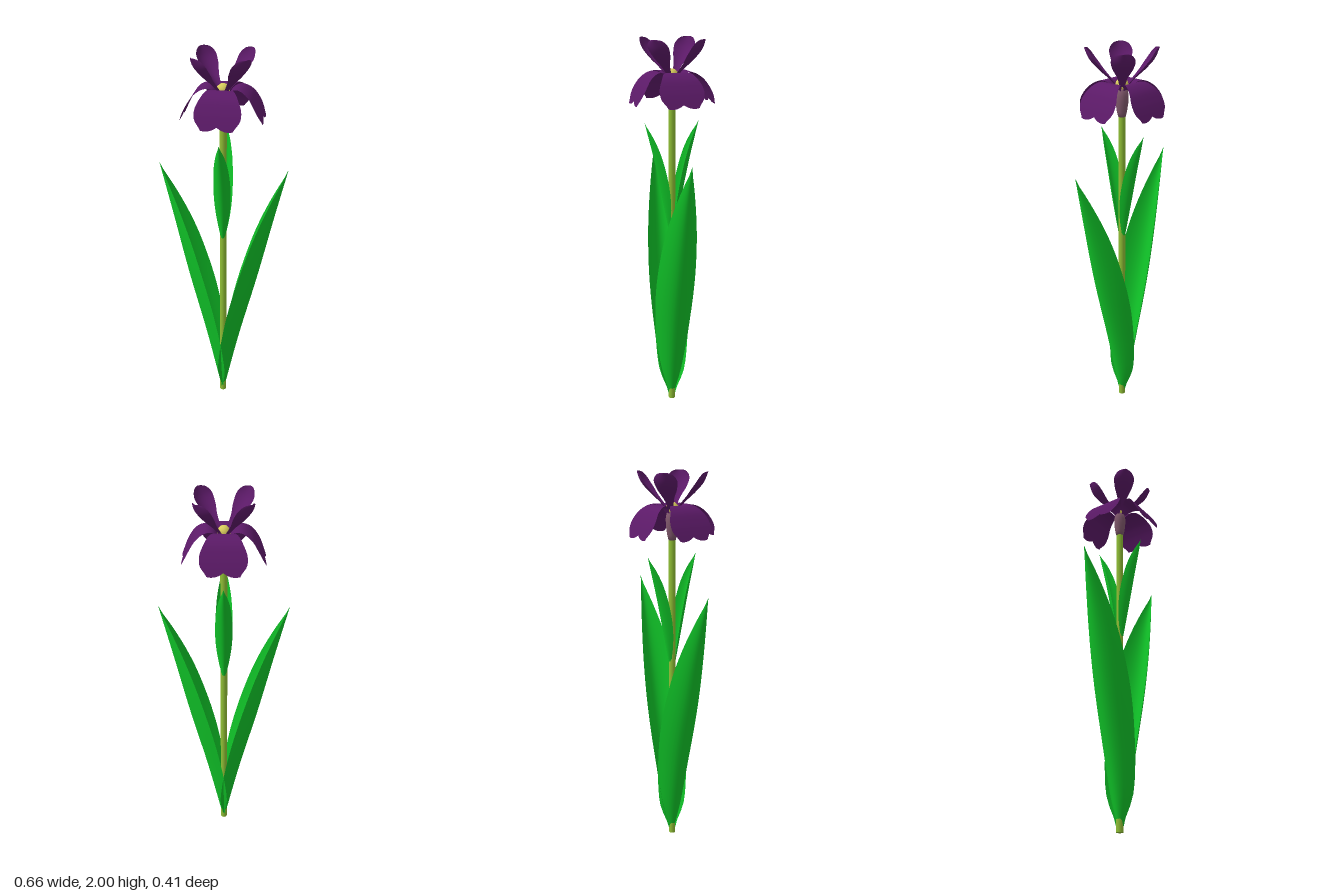
import * as THREE from 'three';

const paint = (color) => new THREE.MeshStandardMaterial({ color, side: THREE.DoubleSide });

// Smoothly interpolates evenly spaced widths along 0..1
function widthAt(list, t) {
  const f = t * (list.length - 1), i = Math.min(Math.floor(f), list.length - 2), k = f - i;
  const at = (j) => list[Math.max(0, Math.min(list.length - 1, j))];
  const [a, b, c, d] = [at(i - 1), at(i), at(i + 1), at(i + 2)];
  return Math.max(0, b + 0.5 * k * (c - a + k * (2 * a - 5 * b + 4 * c - d + k * (3 * (b - c) + d - a))));
}

// A blade follows a midrib of [outward, height] points; half widths run base to tip.
// cup bends the edges inward, round gives a rounded tip, notch makes a two-lobed tip.
function bladeGeometry({ midrib, widths, cup = 0, round = false, notch = 0 }) {
  const curve = new THREE.CatmullRomCurve3(midrib.map(([r, y]) => new THREE.Vector3(0, y, r)));
  const rows = 28, cols = 14, pos = [], index = [];
  for (let i = 0; i <= rows; i++) {
    const t = i / rows;
    const u = round ? Math.sin(t * Math.PI / 2) : t;
    const w = widthAt(widths, t);
    for (let j = 0; j <= cols; j++) {
      const s = (j / cols) * 2 - 1;
      const lobe = 1 - notch * (1 - 1.4 * Math.abs(s)) ** 2;
      const p = curve.getPointAt(u * lobe), tan = curve.getTangentAt(u * lobe);
      const bend = cup * w * s * s;
      pos.push(s * w, p.y + tan.z * bend, p.z - tan.y * bend);
      if (i < rows && j < cols) {
        const a = i * (cols + 1) + j, b = a + cols + 1;
        index.push(a, a + 1, b, a + 1, b + 1, b);
      }
    }
  }
  const g = new THREE.BufferGeometry();
  g.setAttribute('position', new THREE.Float32BufferAttribute(pos, 3));
  g.setIndex(index);
  g.computeVertexNormals();
  return g;
}

export function createModel() {
  const flower = new THREE.Group();
  flower.name = 'flower';
  const green = paint(0x10c428), purple = paint(0x5c1a68);

  const add = (name, geometry, material, y = 0) => {
    const mesh = new THREE.Mesh(geometry, material);
    mesh.name = name;
    mesh.position.y = y;
    flower.add(mesh);
    return mesh;
  };
  // Repeats a blade around the stem
  const ring = (name, spec, material, count, start) => {
    const geometry = bladeGeometry(spec);
    for (let i = 0; i < count; i++) {
      add(name, geometry, material).rotation.y = start + (i * 2 * Math.PI) / count;
    }
  };

  // Stem, seed pod and flower centre
  add('stem', new THREE.CylinderGeometry(0.018, 0.018, 1.69, 16), paint(0x8fbe35), 0.845);
  const pod = [[0, 1.665], [0.019, 1.665], [0.025, 1.69], [0.031, 1.73], [0.033, 1.77], [0.026, 1.81], [0, 1.82]];
  add('seedPod', new THREE.LatheGeometry(pod.map(([x, y]) => new THREE.Vector2(x, y)), 16), paint(0x80586c));
  add('flowerCentre', new THREE.SphereGeometry(0.033, 8, 6), paint(0xd8cc5c), 1.822);

  // Long leaves to the left and right
  ring('longLeaf', {
    midrib: [[0.008, 0.015], [0.09, 0.4], [0.187, 0.8], [0.265, 1.15], [0.33, 1.43]],
    widths: [0.015, 0.064, 0.086, 0.098, 0.106, 0.107, 0.1, 0.086, 0.063, 0.033, 0],
    cup: 0.9,
  }, green, 2, Math.PI / 2);

  // Short leaves at front and back
  ring('shortLeaf', {
    midrib: [[0.02, 1.025], [0.053, 1.2], [0.095, 1.4], [0.143, 1.59]],
    widths: [0.012, 0.026, 0.037, 0.043, 0.044, 0.041, 0.034, 0.02, 0],
    cup: 0.85,
  }, green, 2, 0);

  // Drooping two-lobed petals
  ring('droopingPetal', {
    midrib: [[0.02, 1.79], [0.05, 1.832], [0.085, 1.84], [0.13, 1.815], [0.165, 1.765], [0.185, 1.725], [0.203, 1.682]],
    widths: [0.012, 0.042, 0.07, 0.092, 0.11, 0.108, 0.078],
    notch: 0.07,
  }, purple, 4, 0);

  // Upright petals on the diagonals
  ring('uprightPetal', {
    midrib: [[0.015, 1.8], [0.06, 1.85], [0.115, 1.9], [0.158, 1.95], [0.18, 2.0]],
    widths: [0.012, 0.024, 0.05, 0.057, 0.037, 0],
    cup: 0.4, round: true,
  }, purple, 4, Math.PI / 4);

  return flower;
}
